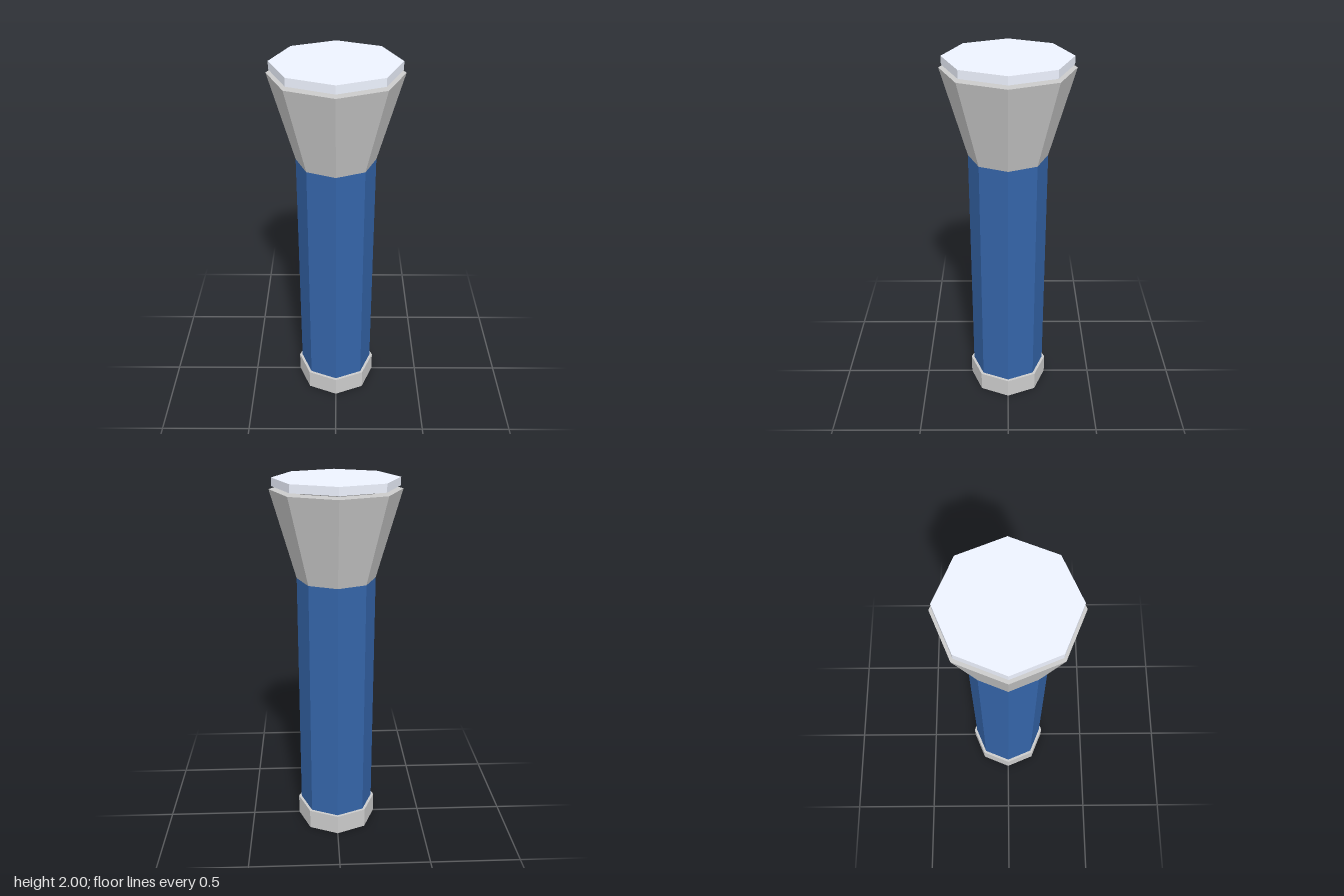
import * as THREE from 'three';

const SIDES = 8;

export function createModel() {
  const group = new THREE.Group();
  const material = (color) => new THREE.MeshStandardMaterial({ color, flatShading: true });
  const grey = material(0xcccccc);
  const blue = material(0x3464a8);
  const glass = material(0xeef3ff);

  // Octagonal frustum between two heights
  function addSection(name, y0, y1, r0, r1, mat) {
    const mesh = new THREE.Mesh(new THREE.CylinderGeometry(r1, r0, y1 - y0, SIDES), mat);
    mesh.position.y = (y0 + y1) / 2;
    mesh.name = name;
    group.add(mesh);
  }

  addSection('tailCap', 0, 0.115, 0.226, 0.226, grey);
  addSection('handle', 0.1, 1.485, 0.21, 0.21, blue);
  addSection('head', 1.48, 1.943, 0.21, 0.341, grey);
  // Reflector, showing as a narrow neck in the gap under the lens
  addSection('reflector', 1.86, 1.96, 0.14, 0.272, grey);
  addSection('lens', 1.958, 2, 0.327, 0.327, glass);

  return group;
}
